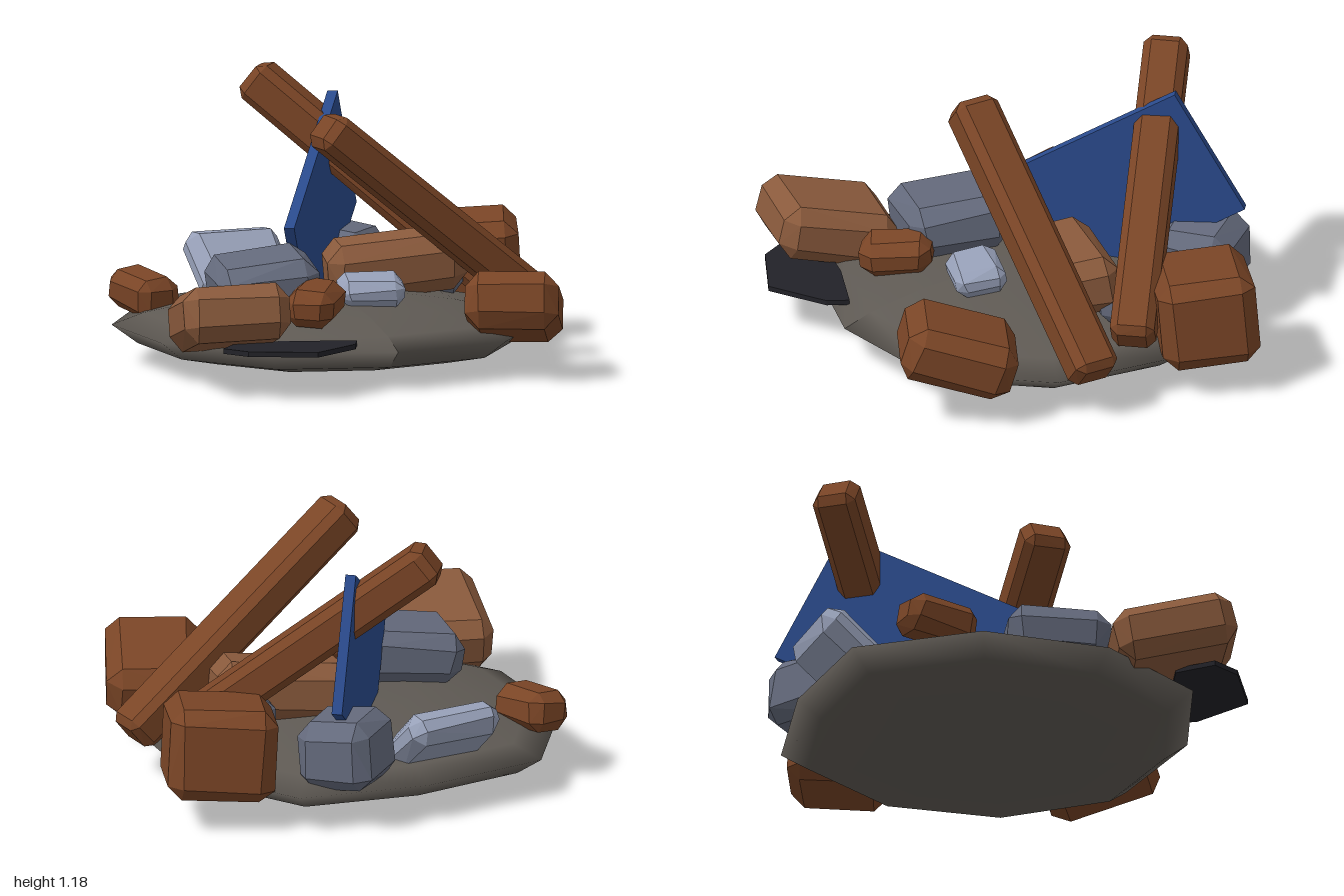
import * as THREE from 'three';
import { ConvexGeometry } from 'three/addons/geometries/ConvexGeometry.js';

const V = (x, y, z) => new THREE.Vector3(x, y, z);
const BROWN = 0x7a4526, TAN = 0x8a5a3c, SLATE = 0x646a7c, PALE = 0x97a0b8;

let seed = 7;
const rand = () => (seed = (seed * 16807) % 2147483647) / 2147483647 - 0.5;

function add(group, name, geometry, color) {
  const mesh = new THREE.Mesh(geometry, new THREE.MeshStandardMaterial({ color }));
  mesh.name = name;
  group.add(mesh);
  return mesh;
}

// Box with all edges and corners cut off, slightly uneven
function chippedBox(w, h, d, cut, rough) {
  const half = [w / 2, h / 2, d / 2];
  const points = [];
  for (const sx of [-1, 1]) for (const sy of [-1, 1]) for (const sz of [-1, 1]) {
    const s = [sx, sy, sz];
    const shift = s.map(() => rand() * rough);
    for (let face = 0; face < 3; face++) {
      const p = half.map((v, i) => s[i] * (i === face ? v : v - cut) + (i === face ? 0 : shift[i]));
      points.push(V(...p));
    }
  }
  return new ConvexGeometry(points);
}

export function createModel() {
  const model = new THREE.Group();
  model.name = 'rubblePile';

  // Low mound: a ten-sided lens with an uneven rim
  const profile = [[0, 0.005], [0.36, 0.025], [0.6, 0.05], [0.8, 0.09], [0.91, 0.17],
    [0.78, 0.22], [0.55, 0.27], [0.3, 0.3], [0, 0.31]].map(([r, y]) => new THREE.Vector2(r, y));
  const moundGeometry = new THREE.LatheGeometry(profile, 10);
  const rim = [0.86, 0.91, 0.9, 0.92, 0.96, 0.86, 0.96, 0.92, 0.9, 0.91];
  const pos = moundGeometry.attributes.position;
  for (let i = 0; i < pos.count; i++) {
    const k = rim[Math.floor(i / profile.length) % 10] / 0.91;
    pos.setX(i, pos.getX(i) * k);
    pos.setZ(i, pos.getZ(i) * k);
  }
  moundGeometry.computeVertexNormals();
  add(model, 'mound', moundGeometry, 0x5f5a54).position.set(-0.06, 0, -0.03);

  // Broken blocks: name, colour, size, centre, rotation, edge cut
  const blocks = [
    ['frontRightBlock', TAN, [0.46, 0.24, 0.52], [-0.73, 0.32, 0.575], [-0.24, -0.19, 0.04], 0.06],
    ['frontLeftBlock', BROWN, [0.4, 0.25, 0.49], [0.55, 0.3, 0.6], [-0.3, -0.41, 0], 0.06],
    ['backLeftBlock', BROWN, [0.46, 0.4, 0.42], [0.73, 0.33, -0.48], [0.08, -0.32, 0.06], 0.06],
    ['middleBlock', TAN, [0.6, 0.25, 0.27], [0.27, 0.4, -0.1], [0.1, -0.2, 0.1], 0.06],
    ['slateBlock', SLATE, [0.44, 0.23, 0.44], [-0.42, 0.39, 0.15], [0.05, -0.18, 0.13], 0.06],
    ['smallFrontBlock', BROWN, [0.21, 0.16, 0.31], [-0.3, 0.34, 0.46], [0.1, -0.6, -0.1], 0.05],
    ['smallPaleBlock', PALE, [0.28, 0.12, 0.22], [0.03, 0.35, 0.25], [0.15, -0.25, 0], 0.04],
    ['paleBackSlab', PALE, [0.43, 0.15, 0.35], [-0.2, 0.33, -0.74], [0.7, 0.08, 0], 0.05],
    ['slateBackBlock', SLATE, [0.34, 0.3, 0.34], [0.25, 0.33, -0.72], [0.12, 0.7, 0], 0.06],
    ['smallSideBlock', BROWN, [0.2, 0.17, 0.32], [-0.735, 0.28, -0.465], [0.1, 0.2, 0.1], 0.045],
    ['smallSlateBlock', SLATE, [0.24, 0.18, 0.2], [0.48, 0.34, -0.2], [0.1, -0.2, 0], 0.05],
  ];
  for (const [name, color, size, centre, turn, cut] of blocks) {
    const block = add(model, name, chippedBox(...size, cut, 0.02), color);
    block.position.set(...centre);
    block.rotation.set(turn[0], turn[1], turn[2], 'YXZ');
  }

  // Leaning beams, each running between two end points
  const beams = [
    ['frontBeam', V(-0.16, 1.05, 0.185), V(0.88, 0.21, 0.11), 0.205, 0.17],
    ['backBeam', V(-0.14, 1.14, -0.75), V(0.77, 0.27, -0.12), 0.19, 0.18],
  ];
  for (const [name, top, foot, w, h] of beams) {
    const beam = add(model, name, chippedBox(w, h, top.distanceTo(foot), 0.035, 0.008), BROWN);
    beam.position.copy(top).lerp(foot, 0.5);
    beam.lookAt(foot);
  }

  // Blue panel standing on one corner, placed from three of its corners
  const side = V(-0.27, 0.6, 0.06), peak = V(0.18, 1.07, -0.62), back = V(0.36, 0.55, -0.87);
  const u = peak.clone().sub(side), v = peak.clone().sub(back);
  const panel = add(model, 'bluePanel', new THREE.BoxGeometry(u.length(), v.length(), 0.045), 0x2a4a8c);
  u.normalize();
  const n = u.clone().cross(v).normalize();
  panel.quaternion.setFromRotationMatrix(new THREE.Matrix4().makeBasis(u, n.clone().cross(u), n));
  panel.position.copy(side).lerp(back, 0.5);

  // Dark flat shard lying at the front edge
  const outline = [[-0.82, 0.74], [-0.75, 0.86], [-0.48, 0.98], [-0.25, 0.82], [-0.21, 0.73], [-0.47, 0.64], [-0.7, 0.6]];
  const shard = new THREE.Shape(outline.map(([x, z]) => new THREE.Vector2(x, -z)));
  const shardGeometry = new THREE.ExtrudeGeometry(shard, { depth: 0.022, bevelEnabled: false });
  shardGeometry.rotateX(-Math.PI / 2);
  add(model, 'darkShard', shardGeometry, 0x222228).position.y = 0.192;

  return model;
}
